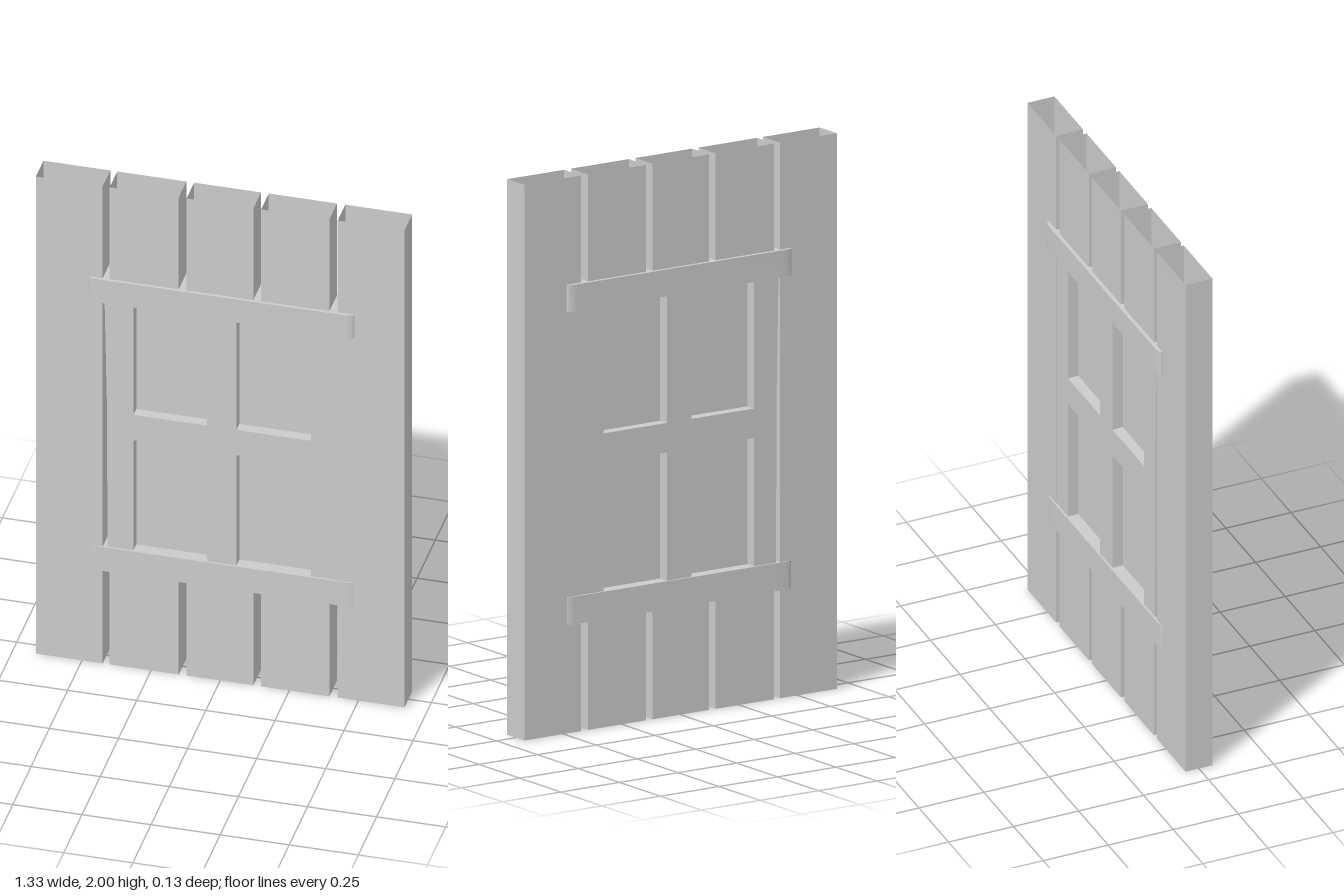
import * as THREE from 'three';
import { toCreasedNormals } from 'three/addons/utils/BufferGeometryUtils.js';

const material = new THREE.MeshStandardMaterial({ color: 0xcccccc, side: THREE.DoubleSide });

function add(group, name, geometry) {
  const mesh = new THREE.Mesh(geometry, material);
  mesh.name = name;
  group.add(mesh);
  return mesh;
}

// Hollow board: a box without its top and bottom faces
function plankGeometry(x0, x1, y0, y1) {
  const g = new THREE.BoxGeometry(x1 - x0, y1 - y0, 0.104);
  const index = Array.from(g.index.array);
  index.splice(12, 12);
  g.setIndex(index);
  g.clearGroups();
  return g.translate((x0 + x1) / 2, (y0 + y1) / 2, 0.001);
}

// Cross rail: plan outline with softly rounded ends, extruded upwards
function railGeometry(x0, x1, y0, y1, z, endZ) {
  const r = 0.045;
  const s = new THREE.Shape();
  s.moveTo(x0 + r, -z);
  s.lineTo(x1 - r, -z);
  s.quadraticCurveTo(x1 - 0.005, -z, x1, -endZ);
  s.lineTo(x1, endZ);
  s.quadraticCurveTo(x1 - 0.005, z, x1 - r, z);
  s.lineTo(x0 + r, z);
  s.quadraticCurveTo(x0 + 0.005, z, x0, endZ);
  s.lineTo(x0, -endZ);
  s.quadraticCurveTo(x0 + 0.005, -z, x0 + r, -z);
  const g = new THREE.ExtrudeGeometry(s, { depth: y1 - y0, bevelEnabled: false, curveSegments: 6 });
  g.rotateX(-Math.PI / 2).translate(0, y0, 0);
  return toCreasedNormals(g, 0.6);
}

// Window frame with four openings; its left edge leans slightly
function frameGeometry() {
  const s = new THREE.Shape([
    [-0.408, 0.45], [0.425, 0.45], [0.425, 1.56], [-0.42, 1.56], [-0.411, 1.1],
  ].map(([x, y]) => new THREE.Vector2(x, y)));
  for (const [x0, x1] of [[-0.315, -0.048], [0.058, 0.328]]) {
    for (const [y0, y1] of [[0.49, 0.952], [1.058, 1.518]]) {
      s.holes.push(new THREE.Path([
        new THREE.Vector2(x0, y0), new THREE.Vector2(x0, y1),
        new THREE.Vector2(x1, y1), new THREE.Vector2(x1, y0),
      ]));
    }
  }
  return new THREE.ExtrudeGeometry(s, { depth: 0.1, bevelEnabled: false }).translate(0, 0, -0.05);
}

export function createModel() {
  const model = new THREE.Group();
  model.name = 'plankDoor';

  // Full-height outer boards
  add(model, 'rightOuterPlank', plankGeometry(-0.667, -0.425, 0, 2));
  add(model, 'leftOuterPlank', plankGeometry(0.425, 0.667, 0, 2));

  // Inner boards, interrupted by the window
  [[-0.4, -0.15], [-0.122, 0.12], [0.148, 0.395]].forEach(([x0, x1], i) => {
    add(model, `upperPlank${i + 1}`, plankGeometry(x0, x1, 1.55, 2));
    add(model, `lowerPlank${i + 1}`, plankGeometry(x0, x1, 0, 0.46));
  });

  // Window frame and recessed panel
  add(model, 'windowFrame', frameGeometry());
  add(model, 'windowPanel', new THREE.BoxGeometry(0.7, 1.06, 0.02).translate(0.005, 1.005, 0));

  // Cross rails
  add(model, 'upperRail', railGeometry(-0.472, 0.486, 1.518, 1.615, 0.065, 0.054));
  add(model, 'lowerRail', railGeometry(-0.472, 0.486, 0.39, 0.49, 0.057, 0.05));

  return model;
}
